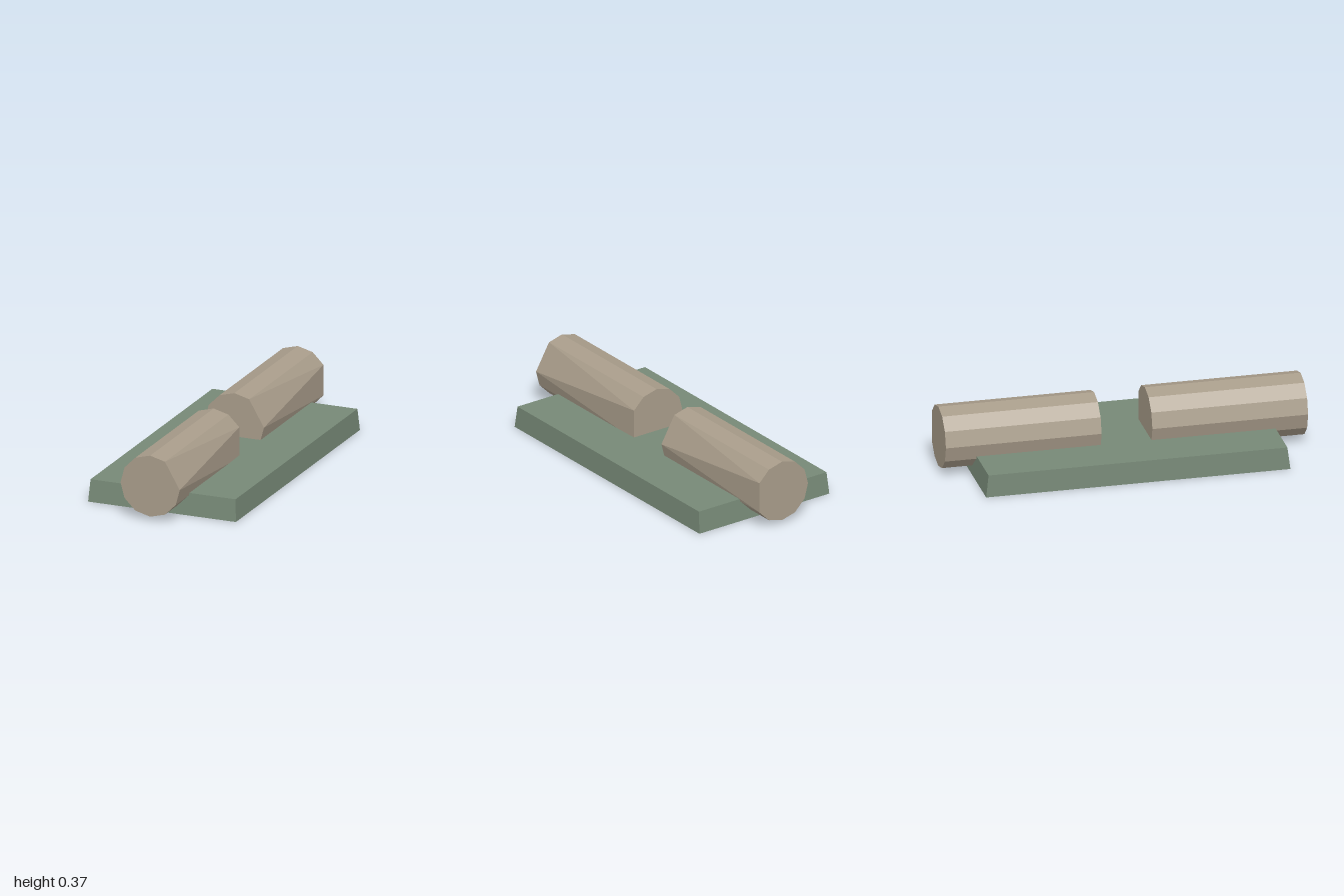
import * as THREE from 'three';

const wood = new THREE.MeshStandardMaterial({ color: 0xa89c8a });
wood.name = 'weathered wood';
const moss = new THREE.MeshStandardMaterial({ color: 0x768876 });
moss.name = 'mossy green';

// Flat-shaded loft between a front and a back ring (counter-clockwise seen from +z), capped
function loft(front, back) {
  const n = front.length, pos = [];
  const tri = (a, b, c) => pos.push(...a, ...b, ...c);
  for (let i = 0; i < n; i++) {
    const j = (i + 1) % n;
    tri(front[i], back[i], front[j]);
    tri(front[j], back[i], back[j]);
    if (i > 0 && i < n - 1) {
      tri(front[0], front[i], front[j]);
      tri(back[0], back[j], back[i]);
    }
  }
  const g = new THREE.BufferGeometry();
  g.setAttribute('position', new THREE.Float32BufferAttribute(pos, 3));
  g.computeVertexNormals();
  return g;
}

// Twelve-sided log with one corner cut from each end, giving a skewed facet on its left side
function logGeometry() {
  const r = 0.173, half = 0.43;
  const ring = (first, z) => {
    const degrees = [first];
    for (let d = 60; d < 360; d += 30) degrees.push(d);
    return degrees.map((d) => {
      const a = THREE.MathUtils.degToRad(d);
      return [r * Math.cos(a), r * Math.sin(a), z];
    });
  };
  return loft(ring(0, half), ring(30, -half));
}

// Slab whose sides lean slightly inward towards the top
function slabGeometry() {
  const h = 0.123;
  const g = new THREE.BoxGeometry(0.864, h, 1.68).toNonIndexed();
  g.translate(0, h / 2, 0);
  const p = g.attributes.position;
  for (let i = 0; i < p.count; i++) {
    if (p.getY(i) > h / 2) {
      p.setX(i, Math.sign(p.getX(i)) * 0.424);
      p.setZ(i, Math.sign(p.getZ(i)) * 0.825);
    }
  }
  g.computeVertexNormals();
  return g;
}

export function createModel() {
  const model = new THREE.Group();
  model.name = 'logsOnSlab';

  const slab = new THREE.Mesh(slabGeometry(), moss);
  slab.name = 'slab';
  model.add(slab);

  // Two logs in line, overhanging the slab at both ends
  const geometry = logGeometry();
  for (const [name, z] of [['frontLog', 0.57], ['backLog', -0.57]]) {
    const log = new THREE.Mesh(geometry, wood);
    log.name = name;
    log.position.set(0, 0.195, z);
    model.add(log);
  }
  return model;
}
